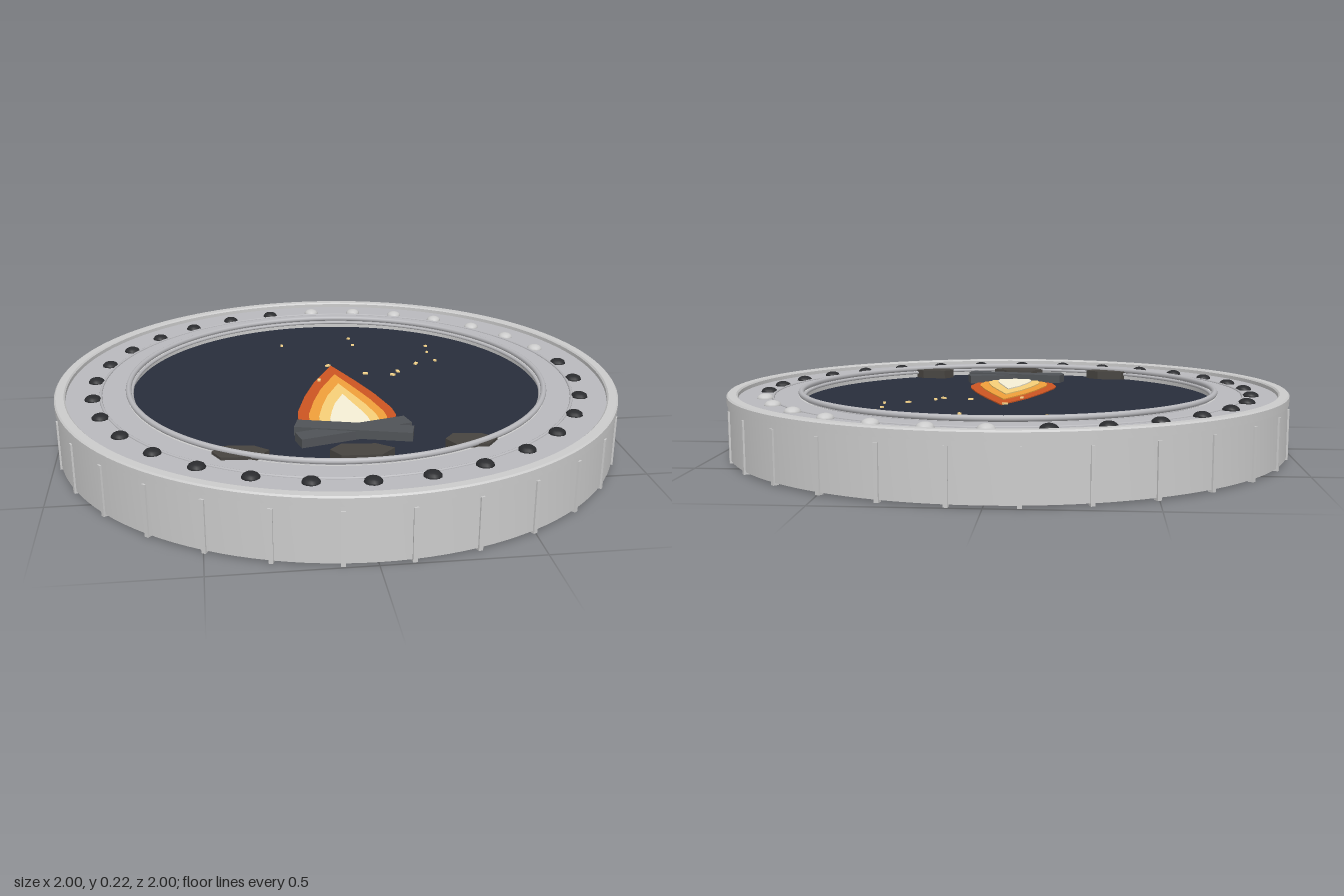
import * as THREE from 'three';
import { toCreasedNormals } from 'three/addons/utils/BufferGeometryUtils.js';

const mat = (color) => new THREE.MeshStandardMaterial({ color });
const grey = mat(0xcccccc), faceGrey = mat(0xb9b9bd), dark = mat(0x2a2b2e), pale = mat(0xf0f0f0);
const night = mat(0x282d3b), wood = mat(0x505357), stone = mat(0x474440), glow = mat(0xffdc90);

function add(parent, name, geometry, material, x = 0, y = 0, z = 0) {
  const mesh = new THREE.Mesh(geometry, material);
  mesh.name = name;
  mesh.position.set(x, y, z);
  parent.add(mesh);
  return mesh;
}

// Closed ring turned from [radius, height] points
function ring(points) {
  const profile = [...points, points[0]].map(([r, y]) => new THREE.Vector2(r, y));
  return toCreasedNormals(new THREE.LatheGeometry(profile, 120), 0.6);
}

// Flat plate from [x, z] points, lying on y = 0
function plate(points, height) {
  const shape = new THREE.Shape(points.map(([x, z]) => new THREE.Vector2(x, -z)));
  return new THREE.ExtrudeGeometry(shape, { depth: height, bevelEnabled: false }).rotateX(-Math.PI / 2);
}

function torus(radius, tube) {
  return new THREE.TorusGeometry(radius, tube, 8, 120).rotateX(Math.PI / 2);
}

export function createModel() {
  const model = new THREE.Group();
  model.name = 'campfireBezel';

  // Bezel: body, raised outer lip, recessed face and inner beads
  add(model, 'bezelBody', ring([[0.735, 0.008], [0.994, 0.008], [0.994, 0.2], [0.735, 0.2]]), grey);
  add(model, 'outerLip', ring([[0.96, 0.19], [0.998, 0.19], [0.998, 0.216], [0.993, 0.221], [0.965, 0.221], [0.96, 0.216]]), grey);
  add(model, 'bezelFace', ring([[0.75, 0.195], [0.96, 0.195], [0.96, 0.203], [0.75, 0.203]]), faceGrey);
  add(model, 'faceBead', torus(0.84, 0.005), faceGrey, 0, 0.203);
  add(model, 'innerBead', torus(0.743, 0.01), faceGrey, 0, 0.215);
  add(model, 'innerStep', torus(0.732, 0.006), faceGrey, 0, 0.2);

  // Grip ribs around the side and studs on the face
  const ribs = new THREE.Group(), studs = new THREE.Group();
  ribs.name = 'gripRibs';
  studs.name = 'studs';
  model.add(ribs, studs);
  const ribGeo = new THREE.BoxGeometry(0.02, 0.175, 0.014);
  const studGeo = new THREE.SphereGeometry(0.029, 12, 5, 0, Math.PI * 2, 0, Math.PI / 2).scale(1, 0.6, 1);
  for (let i = 0; i < 30; i++) {
    const a = (i * Math.PI) / 15;
    const rib = add(ribs, 'gripRib', ribGeo, grey, 0.99 * Math.cos(a), 0.0875, 0.99 * Math.sin(a));
    rib.rotation.y = -a;
    add(studs, i < 7 ? 'paleStud' : 'darkStud', studGeo, i < 7 ? pale : dark,
      0.867 * Math.sin(a), 0.203, -0.867 * Math.cos(a));
  }

  // Dark night disc inside the bezel
  add(model, 'nightDisc', new THREE.CylinderGeometry(0.736, 0.736, 0.12, 120), night, 0, 0.12);

  // Flame: stacked layers, each [tip z, half width, base z, color]
  const flame = new THREE.Group();
  flame.name = 'flame';
  model.add(flame);
  const layers = [
    [-0.22, 0.167, 0.42, 0xcc5522], [-0.11, 0.132, 0.43, 0xf0a03a],
    [0.0, 0.1, 0.435, 0xf7cf78], [0.12, 0.066, 0.44, 0xf6efd6],
  ];
  const outline = [[0.46, 0.28], [0.75, 0.5], [0.97, 0.72], [1, 0.82], [0.86, 1]];
  layers.forEach(([tip, half, base, color], i) => {
    const side = (s) => outline.map(([w, t]) => [s * w * half, tip + t * (base - tip)]);
    const points = [[0.008, tip], ...side(1), ...side(-1).reverse()];
    add(flame, 'flameLayer', plate(points, 0.004 * (i + 1)), mat(color), 0, 0.18);
  });

  // Crossed logs
  for (const s of [1, -1]) {
    const log = add(model, 'log', new THREE.BoxGeometry(0.385, 0.03, 0.064), wood, 0, s > 0 ? 0.2 : 0.196, 0.47);
    log.rotation.y = -s * 0.26;
  }

  // Stones along the lower edge
  const hexagon = [[-0.1, -0.01], [-0.06, -0.05], [0.05, -0.04], [0.102, 0], [0.055, 0.048], [-0.07, 0.04]];
  for (const [x, z, s] of [[-0.375, 0.62, 0.88], [0, 0.65, 1], [0.355, 0.61, 0.82]]) {
    add(model, 'stone', plate(hexagon.map(([u, v]) => [u * s, v]), 0.034), stone, x, 0.178, z);
  }

  // Sparks drifting above the flame
  const sparks = [[-0.16, -0.48], [0.12, -0.54], [0.125, -0.455], [0.415, -0.405], [0.405, -0.33], [0.415, -0.225],
    [0.335, -0.2], [0.25, -0.12], [0.225, -0.085], [0.125, -0.11], [-0.005, -0.215], [-0.055, -0.06]];
  sparks.forEach(([x, z], i) => {
    const size = z < -0.22 ? 0.009 : 0.018;
    const spark = add(model, 'spark', new THREE.BoxGeometry(size, 0.006, 0.011), glow, x, 0.186, z);
    spark.rotation.y = i * 0.7;
  });

  return model;
}
